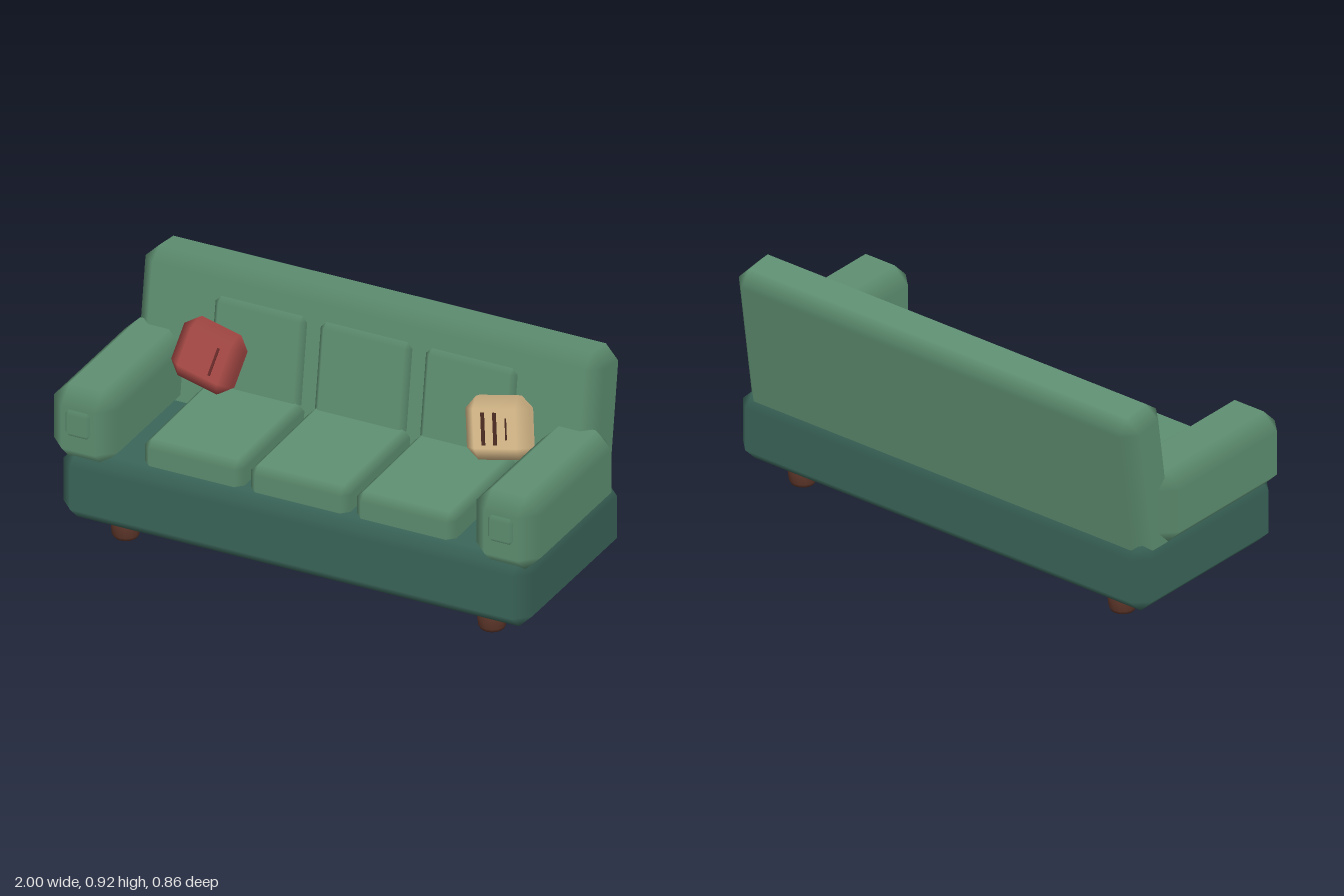
import * as THREE from 'three';
import { ConvexGeometry } from 'three/addons/geometries/ConvexGeometry.js';

const paint = (name, color) => {
  const m = new THREE.MeshStandardMaterial({ color });
  m.name = name;
  return m;
};

// Box with one chamfer on every edge; flat faces, softly shaded chamfers
function chamferBox(w, h, d, bx, by = bx, bz = bx) {
  const half = [w / 2, h / 2, d / 2];
  const bevel = [bx, by, bz];
  const points = [];
  for (let axis = 0; axis < 3; axis++) {
    for (const sx of [-1, 1]) for (const sy of [-1, 1]) for (const sz of [-1, 1]) {
      const p = [sx, sy, sz].map((s, i) => s * (half[i] - (i === axis ? 0 : bevel[i])));
      points.push(new THREE.Vector3(...p));
    }
  }
  const geo = new ConvexGeometry(points);
  const pos = geo.attributes.position;
  const normal = geo.attributes.normal;
  for (let i = 0; i < pos.count; i++) {
    const p = [pos.getX(i), pos.getY(i), pos.getZ(i)];
    const n = p.map((v, k) => (Math.abs(v) > half[k] - 1e-5 ? Math.sign(v) : 0));
    normal.setXYZ(i, ...n);
  }
  return geo;
}

export function createModel() {
  const green = paint('sage green upholstery', 0x5f9072);
  const teal = paint('dark teal base', 0x3b665a);
  const brown = paint('brown wood', 0x5a3428);
  const red = paint('red pillow cloth', 0xa84a46);
  const darkRed = paint('dark red stripe', 0x6a2a2a);
  const tan = paint('tan pillow cloth', 0xd8ba8a);
  const darkBrown = paint('dark brown stripe', 0x4a2a20);

  const sofa = new THREE.Group();
  sofa.name = 'sofa';
  const add = (parent, name, geo, mat, x, y, z) => {
    const mesh = new THREE.Mesh(geo, mat);
    mesh.name = name;
    mesh.position.set(x, y, z);
    parent.add(mesh);
    return mesh;
  };

  // Base
  add(sofa, 'base', chamferBox(1.925, 0.285, 0.78, 0.055), teal, 0, 0.2255, 0.01);

  // Legs
  const legProfile = [[0, 0], [0.045, 0], [0.052, 0.014], [0.061, 0.1], [0, 0.1]];
  const legGeo = new THREE.LatheGeometry(legProfile.map(([r, y]) => new THREE.Vector2(r, y)), 14);
  for (const x of [-0.752, 0.752]) {
    add(sofa, 'frontLeg', legGeo, brown, x, 0, 0.257);
    add(sofa, 'backLeg', legGeo, brown, x, 0, -0.238);
  }

  // Arms with a raised front panel
  const armGeo = chamferBox(0.265, 0.305, 0.69, 0.065, 0.065, 0.065);
  const panelGeo = chamferBox(0.125, 0.135, 0.07, 0.025, 0.03, 0.025);
  for (const [side, s] of [['left', 1], ['right', -1]]) {
    add(sofa, side + 'Arm', armGeo, green, s * 0.8675, 0.4805, 0.069);
    add(sofa, side + 'ArmPanel', panelGeo, green, s * 0.8675, 0.507, 0.392);
  }

  // Leaning backrest with its three cushions
  const back = new THREE.Group();
  back.name = 'back';
  back.position.set(0, 0.592, -0.282);
  back.rotation.x = -0.145;
  sofa.add(back);
  add(back, 'backrest', chamferBox(1.885, 0.64, 0.218, 0.055), green, 0, 0, 0);
  const backCushionGeo = chamferBox(0.375, 0.365, 0.09, 0.022);
  const seatCushionGeo = chamferBox(0.41, 0.13, 0.53, 0.03);
  for (const i of [-1, 0, 1]) {
    add(back, 'backCushion', backCushionGeo, green, i * 0.432, 0.022, 0.088);
    const seat = add(sofa, 'seatCushion', seatCushionGeo, green, i * 0.435, 0.41, 0.085);
    seat.rotation.x = 0.02;
  }

  // Throw pillows with thin stripes
  const pillowGeo = chamferBox(0.26, 0.235, 0.1, 0.045, 0.045, 0.035);
  const pillow = (name, mat, stripeMat, x, roll, stripes) => {
    const group = new THREE.Group();
    group.name = name;
    group.position.set(x, 0.61, -0.108);
    group.rotation.set(-0.33, 0, roll);
    add(group, name + 'Body', pillowGeo, mat, 0, 0, 0);
    for (const [sx, width, height] of stripes) {
      add(group, name + 'Stripe', new THREE.BoxGeometry(width, height, 0.006), stripeMat, sx, 0, 0.051);
    }
    sofa.add(group);
  };
  pillow('redPillow', red, darkRed, -0.598, -0.21, [[0.045, 0.009, 0.11]]);
  pillow('tanPillow', tan, darkBrown, 0.595, 0.21,
    [[-0.045, 0.014, 0.12], [0.003, 0.014, 0.12], [0.048, 0.005, 0.08]]);

  return sofa;
}
